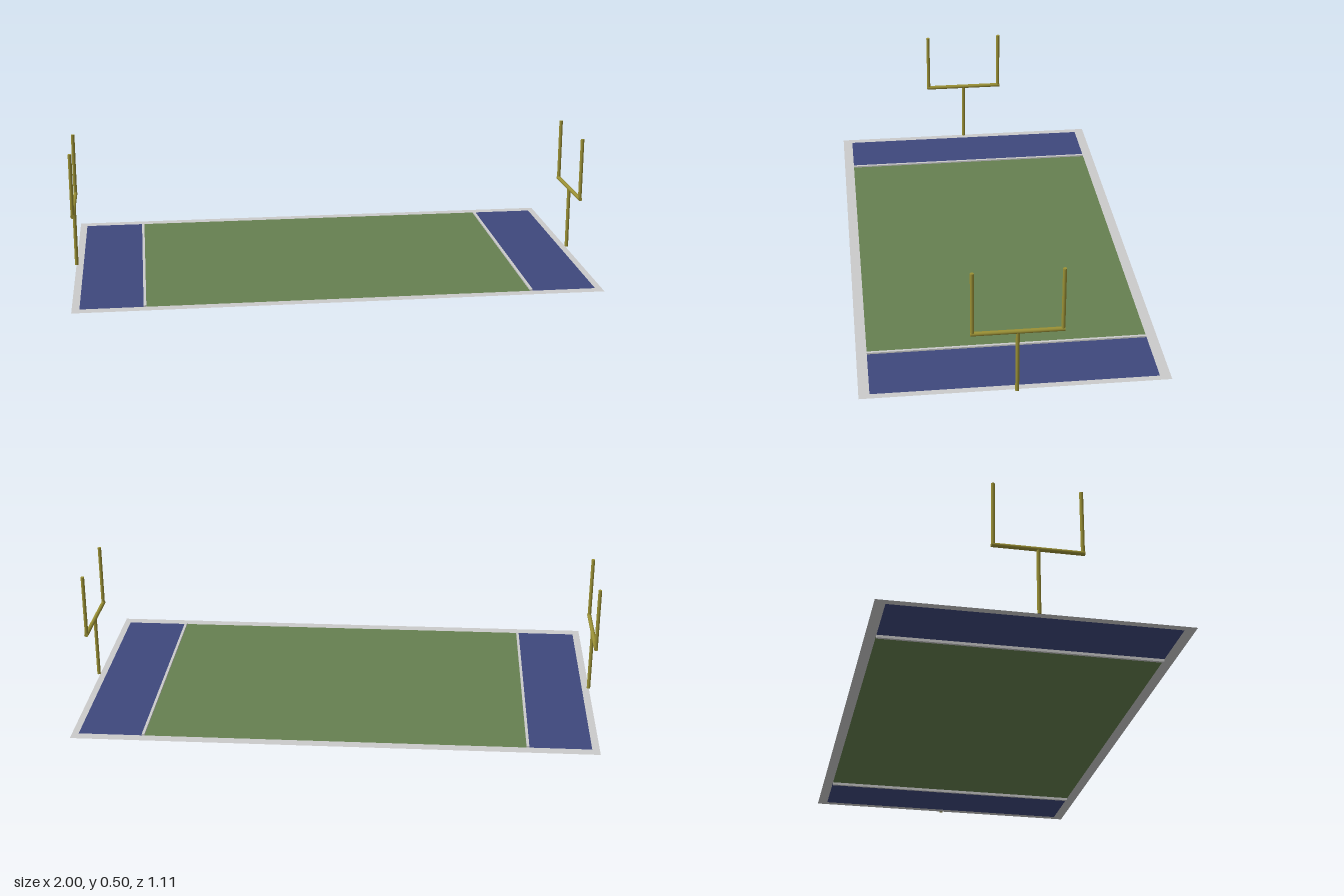
import * as THREE from 'three';

const material = (color, side = THREE.FrontSide) => new THREE.MeshStandardMaterial({ color, side });
const white = material(0xcccccc);
const whiteSheet = material(0xcccccc, THREE.DoubleSide);
const grass = material(0x668050, THREE.DoubleSide);
const blue = material(0x3e487d, THREE.DoubleSide);
const gold = material(0x9a9035);

const GROUND = 0.01;                    // height of the flat playing surface
const INNER = { x0: -0.965, x1: 0.961, z: 0.514 };
const GOAL = [-0.728, 0.715];           // x of the two goal lines

function add(parent, name, geometry, mat, x = 0, y = 0, z = 0) {
  const mesh = new THREE.Mesh(geometry, mat);
  mesh.name = name;
  mesh.position.set(x, y, z);
  parent.add(mesh);
  return mesh;
}

// Flat rectangle lying on the ground between two x positions
function sheet(parent, name, x0, x1, mat) {
  const geometry = new THREE.PlaneGeometry(x1 - x0, INNER.z * 2).rotateX(-Math.PI / 2);
  add(parent, name, geometry, mat, (x0 + x1) / 2, GROUND, 0);
}

// Rectangular outline as a list of points
function rectangle(x0, x1, z) {
  return [[x0, -z], [x1, -z], [x1, z], [x0, z]].map(([x, y]) => new THREE.Vector2(x, y));
}

// Single stem, crossbar and two uprights
function goalPost(name, x) {
  const post = new THREE.Group();
  post.name = name;
  post.position.x = x;
  const bar = 0.257, top = 0.5, half = 0.157, r = 0.007;
  const rod = (radius, length) => new THREE.CylinderGeometry(radius, radius, length, 16);

  add(post, 'stem', rod(r, bar - GROUND), gold, 0, (bar + GROUND) / 2, 0);
  add(post, 'crossbar', rod(0.008, half * 2 + 0.014).rotateX(Math.PI / 2), gold, 0, bar, 0);
  for (const side of [-1, 1]) {
    add(post, 'upright', rod(r, top - bar), gold, 0, (top + bar) / 2, side * half);
  }
  return post;
}

export function createModel() {
  const model = new THREE.Group();
  model.name = 'playingField';

  // Playing surface and end zones
  sheet(model, 'grass', GOAL[0], GOAL[1], grass);
  sheet(model, 'rightEndZone', INNER.x0, GOAL[0], blue);
  sheet(model, 'leftEndZone', GOAL[1], INNER.x1, blue);

  // White border around the field
  const border = new THREE.Shape(rectangle(-0.993, 0.986, 0.553));
  border.holes.push(new THREE.Path(rectangle(INNER.x0, INNER.x1, INNER.z).reverse()));
  add(model, 'border', new THREE.ShapeGeometry(border).rotateX(-Math.PI / 2), whiteSheet, 0, GROUND, 0);

  // Raised goal lines
  for (const x of GOAL) {
    add(model, 'goalLine', new THREE.BoxGeometry(0.01, 0.016, INNER.z * 2), white, x, 0.008, 0);
  }

  model.add(goalPost('rightGoalPost', -0.992), goalPost('leftGoalPost', 0.992));
  return model;
}
